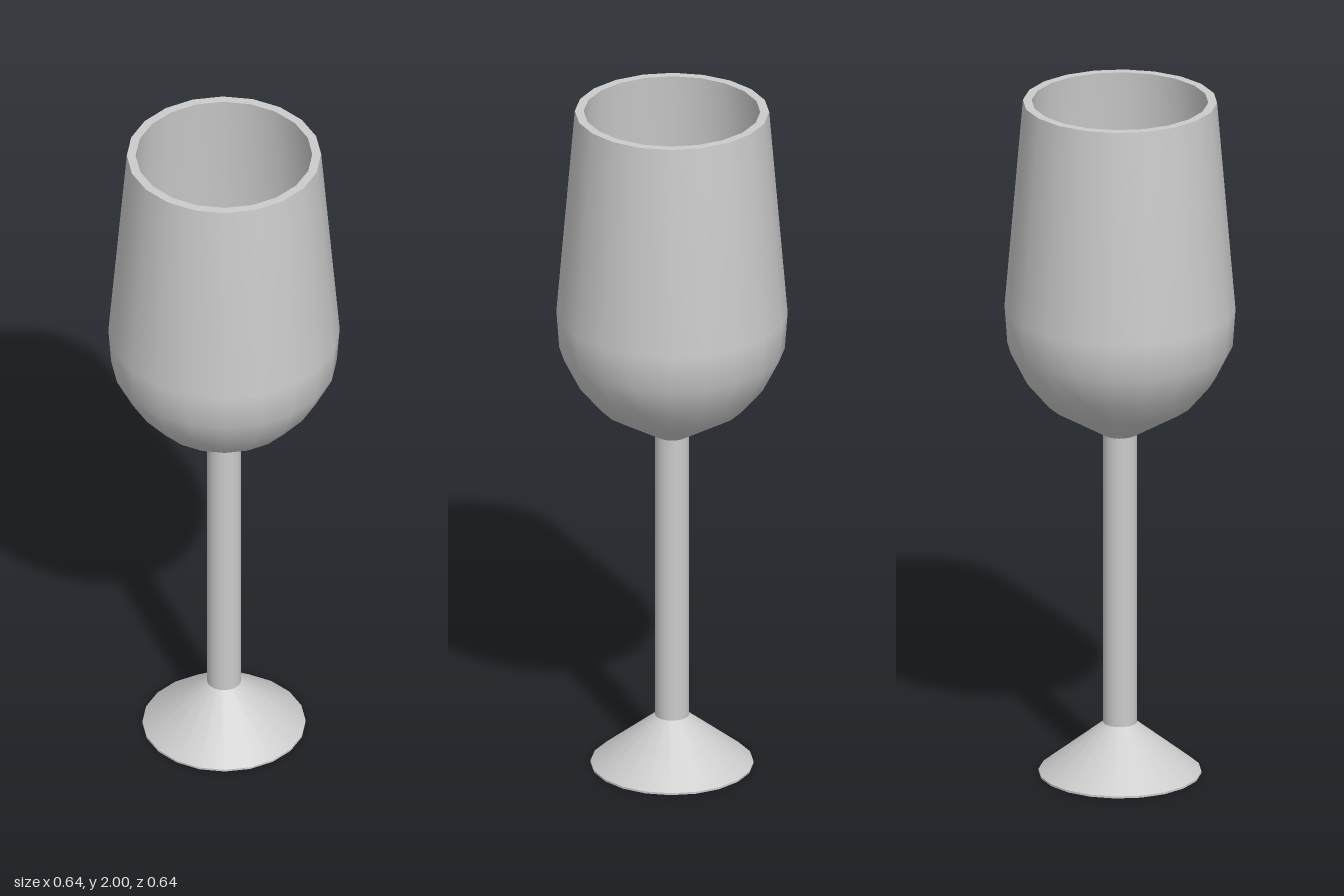
import * as THREE from 'three';

const SIDES = 20;
const material = new THREE.MeshStandardMaterial({ color: 0xcccccc });

// Revolves a profile of [radius, height] pairs; flats face the main axes
function turned(name, profile) {
  const points = profile.map(([r, y]) => new THREE.Vector2(r, y));
  const geometry = new THREE.LatheGeometry(points, SIDES, Math.PI / SIDES);
  const mesh = new THREE.Mesh(geometry, material);
  mesh.name = name;
  return mesh;
}

export function createModel() {
  const glass = new THREE.Group();
  glass.name = 'wineGlass';

  // Foot: flat underside, thin edge and sloping top
  const foot = new THREE.Group();
  foot.name = 'foot';
  foot.add(
    turned('footUnderside', [[0, 0], [0.23, 0]]),
    turned('footEdge', [[0.23, 0], [0.23, 0.006]]),
    turned('footSlope', [[0.23, 0.006], [0.048, 0.15]])
  );

  // Stem
  const stem = turned('stem', [[0.048, 0.15], [0.048, 1.01]]);

  // Bowl: separate pieces keep the rim edges sharp
  const bowl = new THREE.Group();
  bowl.name = 'bowl';
  bowl.add(
    turned('bowlOutside', [
      [0.048, 1.01], [0.207, 1.105], [0.27, 1.18],
      [0.318, 1.275], [0.326, 1.385], [0.274, 2]
    ]),
    turned('rim', [[0.274, 2], [0.249, 2]]),
    turned('bowlInside', [
      [0.249, 2], [0.301, 1.385], [0.294, 1.285],
      [0.25, 1.197], [0.192, 1.127], [0.04, 1.036], [0, 1.03]
    ])
  );

  glass.add(foot, stem, bowl);
  return glass;
}
